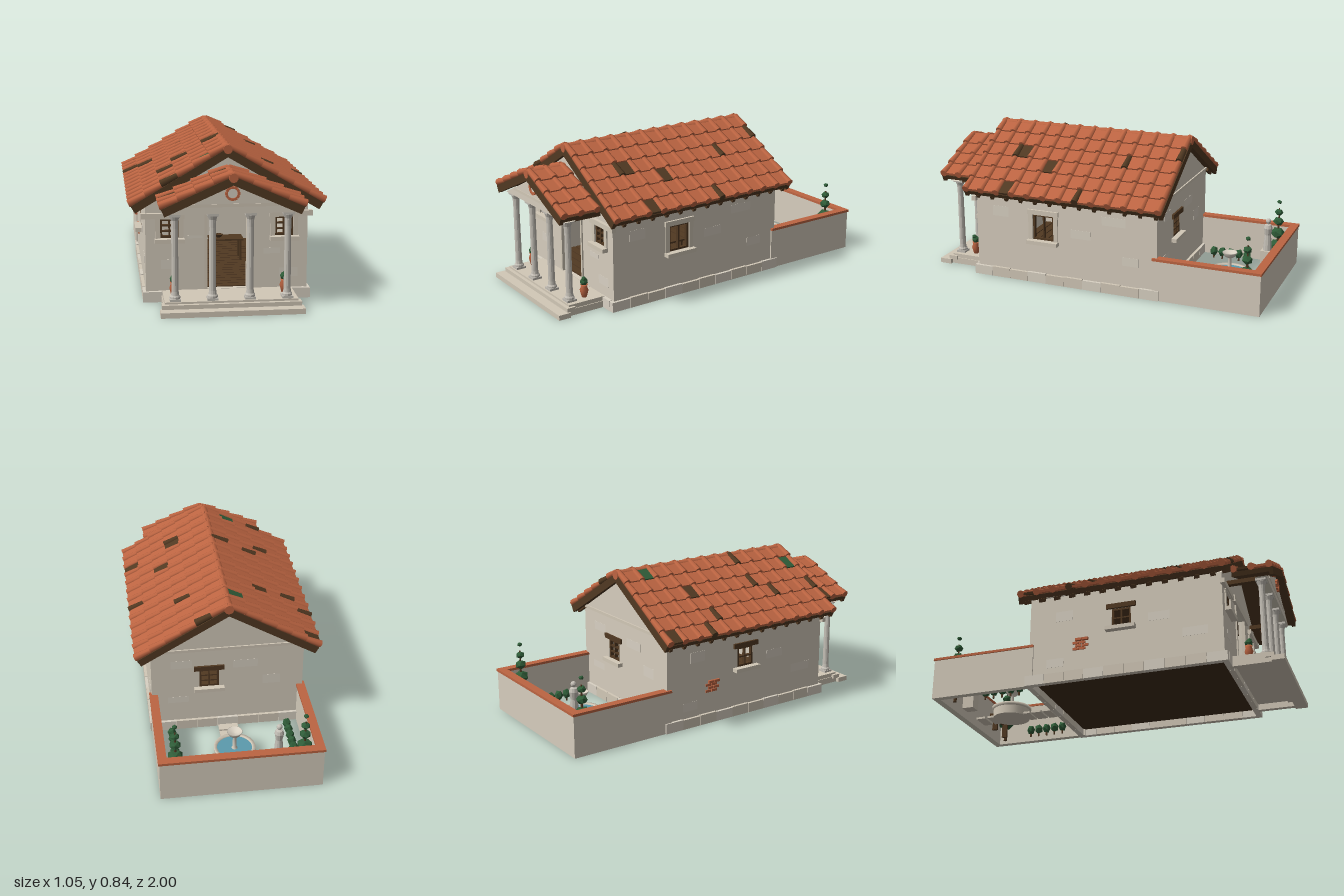
import * as THREE from 'three';

const mat = (name, color) => Object.assign(new THREE.MeshStandardMaterial({ color }), { name });
const M = {
  plaster: mat('plaster', 0xd6cdbd),
  stone: mat('stone', 0xd2c8b7),
  pale: mat('pale plaster', 0xd9d1c3),
  marble: mat('marble', 0xc4bfb6),
  tile: mat('terracotta', 0xbd6542),
  wood: mat('wood', 0x513922),
  dark: mat('dark wood', 0x402c1a),
  leaf: mat('leaf', 0x2f5c38),
  water: mat('water', 0x5c9bad),
};
for (const k of ['marble', 'leaf']) M[k].flatShading = true;

const add = (parent, name, geo, m, x = 0, y = 0, z = 0) => {
  const o = new THREE.Mesh(geo, m);
  o.name = name;
  o.position.set(x, y, z);
  parent.add(o);
  return o;
};
// box given by its extents on each axis
const box = (parent, name, m, x0, x1, y0, y1, z0, z1) =>
  add(parent, name, new THREE.BoxGeometry(x1 - x0, y1 - y0, z1 - z0), m, (x0 + x1) / 2, (y0 + y1) / 2, (z0 + z1) / 2);
const group = (parent, name, x = 0, y = 0, z = 0, ry = 0) => {
  const g = new THREE.Group();
  g.name = name;
  g.position.set(x, y, z);
  g.rotation.y = ry;
  parent.add(g);
  return g;
};
const shapeOf = pts => new THREE.Shape(pts.map(p => new THREE.Vector2(p[0], p[1])));
const extrude = (shape, depth) => new THREE.ExtrudeGeometry(shape, { depth, bevelEnabled: false });
const lathe = (pts, n = 14) => new THREE.LatheGeometry(pts.map(p => new THREE.Vector2(p[0], p[1])), n);

// wall panel: outer face at local z = 0, holes are [x0, x1, y0, y1]
function wall(parent, name, pts, holes) {
  const s = shapeOf(pts);
  for (const [a, b, c, d] of holes) s.holes.push(new THREE.Path([[a, c], [a, d], [b, d], [b, c]].map(p => new THREE.Vector2(...p))));
  add(parent, name, extrude(s, 0.03), M.plaster, 0, 0, -0.03);
}

// framed window in a wall, with glazing bars, sill, lintel and optional jambs
function windowSet(parent, x0, x1, y0, y1, { rows = 2, lintel = M.stone, jambs = true, sill = 0.035 } = {}) {
  const g = group(parent, 'window'), t = 0.011;
  for (const [a, b] of [[x0, x0 + t], [x1 - t, x1], [(x0 + x1) / 2 - 0.004, (x0 + x1) / 2 + 0.004]])
    box(g, 'windowUpright', M.wood, a, b, y0, y1, -0.022, -0.002);
  for (let i = 0; i <= rows; i++) {
    const y = y0 + t / 2 + (y1 - y0 - t) * i / rows, h = i % rows ? 0.004 : t / 2;
    box(g, 'windowRail', M.wood, x0, x1, y - h, y + h, -0.022, -0.002);
  }
  if (jambs) for (const x of [x0 - 0.026, x1]) box(g, 'windowJamb', M.stone, x, x + 0.026, y0, y1, -0.01, 0.008);
  box(g, 'windowSill', M.stone, x0 - 0.03, x1 + 0.03, y0 - 0.022, y0, -0.02, sill);
  box(g, 'windowLintel', lintel, x0 - 0.03, x1 + 0.03, y1, y1 + 0.028, -0.02, 0.012);
}

// inverted V cross-section of a roof
function chevron(a, w, t, d) {
  const c = 1 / Math.hypot(1, t), s = t * c, e = a - t * w;
  return shapeOf([[0, a], [-w, e], [-w + d * s, e - d * c], [0, a - d / c], [w - d * s, e - d * c], [w, e]]);
}

// tiled roof: odd lists [side, halfColumn, course, material] of replaced tiles
function roof(parent, name, { a, w, t, z0, z1, cols, courses, ridge, fasciaBack, odd }) {
  const g = group(parent, name), ang = Math.atan(t), L = w / Math.cos(ang) / courses;
  add(g, 'roofDeck', extrude(chevron(a, w, t, 0.026), z1 - z0 - 0.01), M.wood, 0, 0, z0 + 0.005);
  add(g, 'frontFascia', extrude(chevron(a, w, t, 0.042), 0.022), M.wood, 0, 0, z1 - 0.022);
  if (fasciaBack) add(g, 'backFascia', extrude(chevron(a, w, t, 0.042), 0.022), M.wood, 0, 0, z0);
  const zc = (z0 + z1) / 2, pitch = (z1 - z0 - 0.036) / cols;
  const flat = new THREE.BoxGeometry(L * 1.06, 0.013, pitch * 0.96);
  const roll = new THREE.CylinderGeometry(0.016, 0.021, L * 1.08, 8).rotateZ(Math.PI / 2);
  for (const side of [1, -1]) {
    const slope = group(group(g, 'roofSide', 0, a, zc, side > 0 ? 0 : Math.PI), 'tileSlope');
    slope.rotation.z = -ang;
    for (let c = 0; c < courses; c++) for (let h = 0; h <= 2 * cols; h++) {
      const o = odd.find(q => q[0] === side && q[1] === h && q[2] === c);
      const z = z0 + 0.018 + h * pitch / 2 - zc;
      const m = add(slope, h % 2 ? 'flatTile' : 'rollTile', h % 2 ? flat : roll, o ? o[3] : M.tile, (c + 0.5) * L, h % 2 ? 0.011 : 0.013, side * z);
      m.rotation.z = 0.08;
    }
  }
  for (let i = 0; i < cols; i++) {
    const l = (z1 - z0) / cols;
    add(g, 'ridgeTile', new THREE.CylinderGeometry(0.024, 0.027, l * 1.02, 10).rotateX(Math.PI / 2), M.tile, 0, ridge, z0 + (i + 0.5) * l);
  }
}

function column(parent, x, z) {
  const g = group(parent, 'column', x, 0.06, z);
  box(g, 'columnFoot', M.marble, -0.028, 0.028, 0, 0.012, -0.028, 0.028);
  add(g, 'columnShaft', lathe([[0.027, 0.012], [0.027, 0.022], [0.021, 0.03], [0.0185, 0.05], [0.017, 0.38], [0.019, 0.42], [0.027, 0.44], [0.027, 0.446]], 12), M.marble);
  box(g, 'columnCap', M.marble, -0.029, 0.029, 0.442, 0.457, -0.029, 0.029);
}

function bush(parent, name, x, y, z, r, sy = 1) {
  const b = add(parent, name, new THREE.IcosahedronGeometry(r, 0), M.leaf, x, y, z);
  b.scale.y = sy;
  b.rotation.y = x * 7 + z * 31;
}

export function createModel() {
  const model = new THREE.Group();
  model.name = 'villa';

  // house shell
  const house = group(model, 'house');
  const X = 0.43, gable = [[-X, 0.05], [X, 0.05], [X, 0.527], [0, 0.785], [-X, 0.527]];
  const front = group(house, 'frontWall', 0, 0, 0.7);
  const fw = [[-0.352, -0.256, 0.342, 0.445], [0.256, 0.352, 0.342, 0.445]];
  wall(front, 'frontPanel', gable, [[-0.105, 0.105, 0.06, 0.475], ...fw]);
  for (const q of fw) windowSet(front, ...q, { rows: 3 });
  for (const x of [-0.34, 0.34]) box(front, 'windowHeader', M.stone, x - 0.114, x + 0.114, 0.45, 0.478, -0.005, 0.02);
  box(front, 'doorLintel', M.stone, -0.17, 0.17, 0.475, 0.515, -0.02, 0.016);
  for (const x of [-0.12, 0.105]) box(front, 'doorJamb', M.stone, x, x + 0.015, 0.06, 0.475, -0.02, 0.008);

  const back = group(house, 'backWall', 0, 0, -0.41, Math.PI);
  const bw = [-0.16, -0.05, 0.28, 0.395];
  wall(back, 'backPanel', gable, [bw]);
  windowSet(back, ...bw, { rows: 3, lintel: M.wood, jambs: false, sill: 0.03 });
  box(back, 'gableBand', M.stone, -X, X, 0.525, 0.542, 0, 0.008);

  const sidePts = [[-0.555, 0.05], [0.555, 0.05], [0.555, 0.527], [-0.555, 0.527]];
  const left = group(house, 'leftSideWall', X, 0, 0.145, Math.PI / 2);
  const lw = [-0.195, -0.065, 0.258, 0.408];
  wall(left, 'sidePanel', sidePts, [lw]);
  windowSet(left, ...lw, { rows: 1 });
  const right = group(house, 'rightSideWall', -X, 0, 0.145, -Math.PI / 2);
  const rw = [-0.07, 0.04, 0.285, 0.4];
  wall(right, 'sidePanel', sidePts, [rw]);
  windowSet(right, ...rw, { rows: 2, lintel: M.wood, jambs: false });
  // exposed brick patch
  for (let r = 0; r < 4; r++) for (let c = 0; c < 2; c++) {
    const x = -0.295 + c * 0.039 + (r % 2) * 0.016;
    box(right, 'exposedBrick', M.tile, x, x + 0.035, 0.18 + r * 0.018, 0.194 + r * 0.018, -0.005, r === 3 ? 0.014 : 0.007);
  }

  // plaster patches: x, y, width, height
  const patches = [
    [front, [[-0.17, 0.345, 0.08, 0.014], [-0.3, 0.2, 0.1, 0.05], [0.24, 0.26, 0.09, 0.03], [0.33, 0.14, 0.1, 0.05]]],
    [back, [[0.1, 0.42, 0.14, 0.05], [-0.26, 0.44, 0.12, 0.05], [0.25, 0.3, 0.1, 0.06], [-0.28, 0.2, 0.12, 0.04]]],
    [left, [[-0.4, 0.4, 0.1, 0.06], [0.1, 0.32, 0.12, 0.05], [0.3, 0.42, 0.14, 0.05], [0.4, 0.2, 0.1, 0.05]]],
    [right, [[-0.35, 0.4, 0.1, 0.06], [0.2, 0.32, 0.12, 0.05], [0.4, 0.2, 0.14, 0.05], [-0.4, 0.12, 0.1, 0.05]]],
  ];
  for (const [p, list] of patches) for (const [x, y, w, h] of list)
    box(p, 'plasterPatch', M.pale, x - w / 2, x + w / 2, y - h / 2, y + h / 2, -0.001, 0.001);

  // plinth blocks and raised floor
  for (let i = 0; i < 10; i++) {
    const z = -0.425 + i * 0.1145;
    for (const s of [-1, 1]) box(house, 'plinthBlock', i % 3 ? M.stone : M.pale, s * 0.43 - 0.016, s * 0.43 + 0.016, 0, 0.058 - (i % 2) * 0.003, z, z + 0.1125);
  }
  for (let i = 0; i < 7; i++) for (const z of [-0.41, 0.704]) {
    const x = -0.415 + i * 0.1186;
    box(house, 'plinthBlock', i % 3 ? M.stone : M.pale, x, x + 0.117, 0, 0.057, z - 0.016, z + 0.016);
  }
  box(house, 'floorBase', M.dark, -0.415, 0.415, 0.04, 0.057, -0.395, 0.69);
  for (let i = 0; i < 20; i++) box(house, 'floorPlank', M.wood, -0.4, 0.4, 0.057, 0.063, -0.38 + i * 0.0525, -0.334 + i * 0.0525);

  // table with bowl
  const table = group(model, 'table', 0.065, 0.063, 0.1);
  box(table, 'tableTop', M.wood, -0.1, 0.1, 0.12, 0.13, -0.06, 0.06);
  for (const x of [-0.082, 0.082]) for (const z of [-0.045, 0.045]) box(table, 'tableLeg', M.wood, x - 0.006, x + 0.006, 0, 0.12, z - 0.006, z + 0.006);
  add(table, 'bowl', lathe([[0.001, 0.13], [0.012, 0.13], [0.026, 0.147], [0.022, 0.147], [0.001, 0.136]], 10), M.wood, -0.04);

  // main roof with rafter tails
  const D = M.wood, G = M.leaf;
  roof(model, 'mainRoof', {
    a: 0.82, w: 0.505, t: 0.589, z0: -0.46, z1: 0.74, cols: 12, courses: 6, ridge: 0.812, fasciaBack: true,
    odd: [[-1, 1, 5, D], [-1, 3, 0, G], [-1, 6, 5, D], [-1, 7, 2, D], [-1, 8, 4, D], [-1, 16, 2, D], [-1, 16, 0, D], [-1, 18, 3, D], [-1, 23, 1, G], [-1, 24, 3, D],
      [1, 0, 1, D], [1, 6, 2, D], [1, 10, 5, D], [1, 15, 3, D], [1, 19, 2, D], [1, 19, 5, D], [1, 20, 2, D]],
  });
  for (let i = 0; i < 13; i++) for (const s of [-1, 1]) {
    const r = add(model, 'rafterTail', new THREE.BoxGeometry(0.08, 0.02, 0.018), M.wood, s * 0.452, 0.51, -0.42 + i * 0.09);
    r.rotation.z = -s * 0.532;
  }

  // porch
  const porch = group(model, 'porch');
  box(porch, 'porchFloor', M.stone, -0.345, 0.345, 0.035, 0.06, 0.705, 0.925);
  box(porch, 'upperStep', M.stone, -0.36, 0.36, 0.026, 0.05, 0.895, 0.945);
  box(porch, 'lowerStep', M.stone, -0.37, 0.37, 0, 0.028, 0.93, 1);
  for (const s of [-1, 1]) box(porch, 'porchSideFooting', M.stone, s * 0.335 - 0.015, s * 0.335 + 0.015, 0, 0.036, 0.705, 0.93);
  for (const x of [-0.29, -0.097, 0.097, 0.29]) column(porch, x, 0.89);
  add(porch, 'pediment', extrude(shapeOf([[-0.335, 0.515], [0.335, 0.515], [0, 0.674]]), 0.06), M.plaster, 0, 0, 0.865);
  box(porch, 'pedimentBand', M.stone, -0.235, 0.235, 0.55, 0.566, 0.9, 0.928);
  for (const s of [-1, 1]) box(porch, 'porchBeam', M.wood, s * 0.3 - 0.014, s * 0.3 + 0.014, 0.505, 0.53, 0.7, 0.87);
  add(porch, 'medallion', new THREE.CircleGeometry(0.028, 20), M.pale, 0, 0.62, 0.929);
  for (let i = 0; i < 12; i++) {
    const a = i * Math.PI / 6;
    const b = add(porch, 'wreathBlock', new THREE.BoxGeometry(0.013, 0.0155, 0.014), M.tile, 0.031 * Math.cos(a), 0.62 + 0.031 * Math.sin(a), 0.929);
    b.rotation.z = a;
  }
  roof(model, 'porchRoof', {
    a: 0.713, w: 0.363, t: 0.445, z0: 0.735, z1: 0.968, cols: 2, courses: 4, ridge: 0.704, fasciaBack: false,
    odd: [[-1, 1, 3, D], [-1, 1, 0, D]],
  });
  for (const x of [-0.29, 0.29]) {
    const p = group(porch, 'pottedPlant', x, 0.06, 0.8);
    add(p, 'pot', lathe([[0.001, 0], [0.014, 0], [0.024, 0.04], [0.016, 0.062], [0.021, 0.072], [0.001, 0.07]], 10), M.tile);
    bush(p, 'potLeaves', 0, 0.087, 0, 0.024);
    bush(p, 'potLeafTip', 0.006, 0.106, 0.004, 0.014);
  }

  // walled garden
  const garden = group(model, 'garden');
  for (const s of [-1, 1]) {
    box(garden, 'gardenSideWall', M.plaster, s * 0.42 - 0.018, s * 0.42 + 0.018, 0, 0.232, -0.995, -0.385);
    box(garden, 'gardenSideCap', M.tile, s * 0.42 - 0.024, s * 0.42 + 0.024, 0.232, 0.246, -1, -0.385);
  }
  box(garden, 'gardenBackWall', M.plaster, -0.402, 0.402, 0, 0.232, -0.995, -0.957);
  box(garden, 'gardenBackCap', M.tile, -0.396, 0.396, 0.232, 0.246, -1, -0.952);
  for (const [a, b] of [[-0.9, -0.845], [-0.83, -0.785], [-0.6, -0.56], [-0.55, -0.49], [-0.478, -0.43]]) box(garden, 'steppingStone', M.stone, -0.056, 0.056, 0, 0.012, a, b);

  // fountain
  const f = group(garden, 'fountain', 0, 0, -0.7);
  add(f, 'basin', new THREE.CylinderGeometry(0.108, 0.108, 0.056, 24), M.stone, 0, 0.028);
  add(f, 'basinRim', lathe([[0.108, 0.05], [0.116, 0.054], [0.116, 0.068], [0.098, 0.068], [0.098, 0.052]], 24), M.stone);
  add(f, 'waterSurface', new THREE.CircleGeometry(0.1, 24).rotateX(-Math.PI / 2), M.water, 0, 0.06);
  add(f, 'fountainBowl', lathe([[0.022, 0.05], [0.012, 0.07], [0.01, 0.14], [0.03, 0.152], [0.044, 0.175], [0.04, 0.177], [0.02, 0.165], [0.001, 0.163]], 16), M.pale);

  // statue
  const st = group(garden, 'statue', -0.215, 0, -0.865);
  box(st, 'pedestal', M.stone, -0.033, 0.033, 0, 0.14, -0.033, 0.033);
  add(st, 'statueBody', lathe([[0.026, 0.14], [0.022, 0.2], [0.019, 0.235], [0.026, 0.275], [0.02, 0.295], [0.007, 0.3], [0.007, 0.31]], 10), M.marble);
  add(st, 'statueHead', new THREE.IcosahedronGeometry(0.016, 1), M.marble, 0, 0.318, 0);

  // bench
  box(garden, 'benchSeat', M.wood, 0.12, 0.31, 0.085, 0.1, -0.9, -0.848);
  for (const x of [0.14, 0.28]) box(garden, 'benchLeg', M.wood, x, x + 0.014, 0, 0.085, -0.89, -0.858);

  // trees and hedges
  for (const x of [-0.35, 0.345]) {
    add(garden, 'treeTrunk', new THREE.CylinderGeometry(0.004, 0.011, 0.36, 6), M.wood, x, 0.18, -0.895);
    for (const [y, r] of [[0.12, 0.056], [0.205, 0.045], [0.278, 0.033], [0.335, 0.026], [0.398, 0.015]]) bush(garden, 'treeTier', x, y, -0.895 + r * 0.05, r, 0.8);
  }
  for (const x of [-0.33, 0.33]) for (let i = 0; i < 5; i++) {
    bush(garden, 'hedgeBush', x, 0.045, -0.715 + i * 0.052, 0.026, 1.2);
    box(garden, 'hedgeStem', M.wood, x - 0.004, x + 0.004, 0, 0.03, -0.719 + i * 0.052, -0.711 + i * 0.052);
  }
  return model;
}
